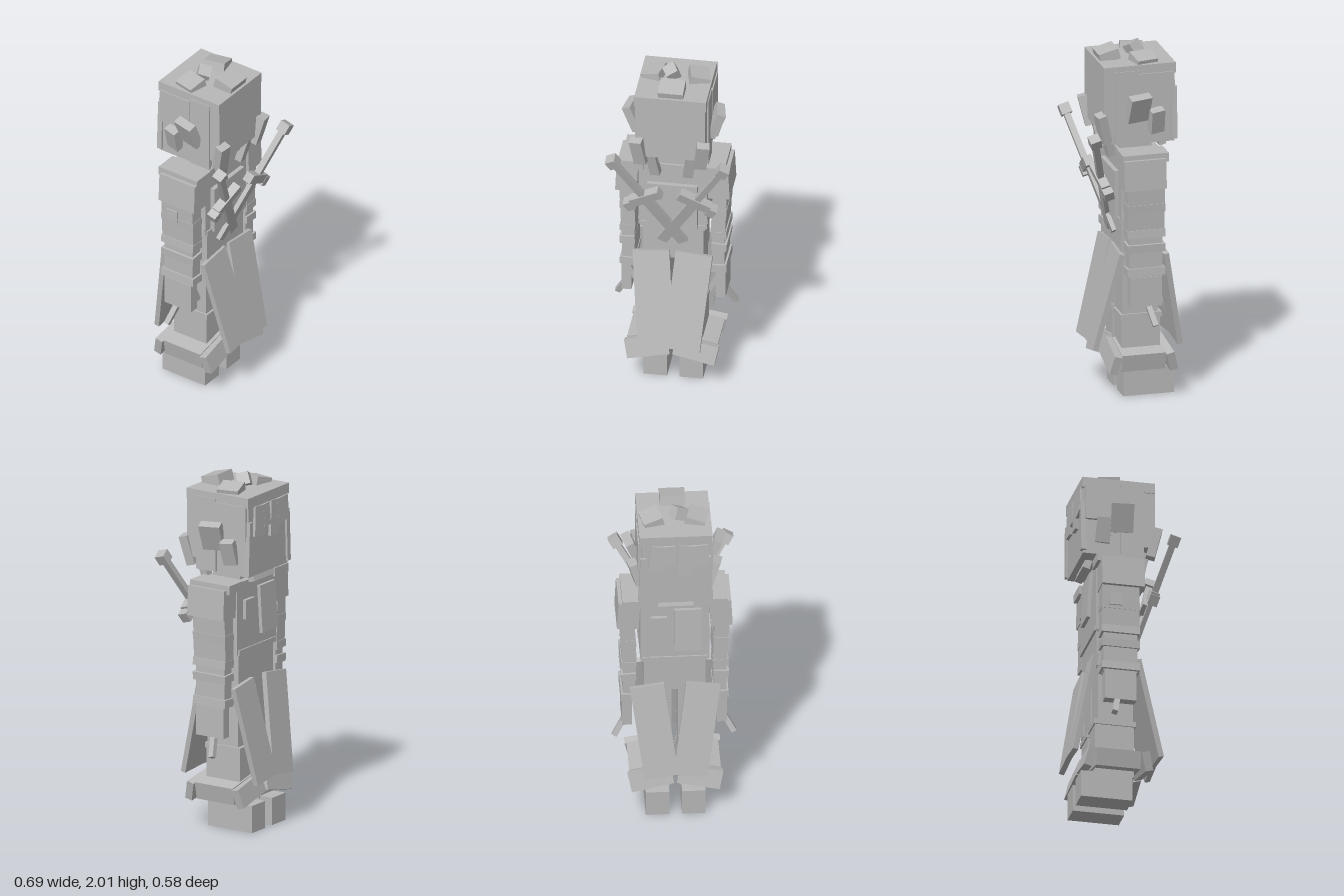
import * as THREE from 'three';

export function createModel() {
  const model = new THREE.Group();
  model.name = 'blockyWarrior';
  const grey = new THREE.MeshStandardMaterial({ color: 0xb8b8b8 });
  grey.name = 'plainGrey';

  // A box from its size, centre and rotation
  const box = (name, size, pos, rot = [0, 0, 0], parent = model) => {
    const mesh = new THREE.Mesh(new THREE.BoxGeometry(...size), grey);
    mesh.name = name;
    mesh.position.set(...pos);
    mesh.rotation.set(...rot);
    parent.add(mesh);
    return mesh;
  };
  // The same box on both sides of the body
  const pair = (name, size, [x, y, z], [rx, ry, rz] = [0, 0, 0]) => {
    box(name + 'Left', size, [x, y, z], [rx, ry, rz]);
    box(name + 'Right', size, [-x, y, z], [rx, -ry, -rz]);
  };
  // A group whose y axis runs from low to high, centred between them
  const along = (name, low, high) => {
    const a = new THREE.Vector3(...low), b = new THREE.Vector3(...high);
    const group = new THREE.Group();
    const y = b.clone().sub(a).normalize();
    const z = new THREE.Vector3(1, 0, 0).cross(y).normalize();
    const x = y.clone().cross(z);
    group.name = name;
    group.quaternion.setFromRotationMatrix(new THREE.Matrix4().makeBasis(x, y, z));
    group.position.copy(a).add(b).multiplyScalar(0.5);
    model.add(group);
    return { group, length: a.distanceTo(b) };
  };

  // Head and hair
  box('head', [0.38, 0.41, 0.32], [0, 1.67, -0.07]);
  box('hairCap', [0.4, 0.06, 0.41], [0, 1.89, -0.03]);
  box('hairBack', [0.39, 0.34, 0.09], [0, 1.7, 0.13]);
  box('hairNape', [0.3, 0.08, 0.06], [0, 1.5, 0.09]);
  pair('hairSide', [0.02, 0.42, 0.13], [0.195, 1.68, 0.045]);
  pair('hairTemple', [0.02, 0.2, 0.2], [0.197, 1.77, -0.12]);
  pair('cheekLock', [0.03, 0.3, 0.03], [0.185, 1.63, -0.228], [0, 0, 0.04]);
  [[-0.13, 0.1, 0.14], [-0.05, 0.08, 0.2], [0.03, 0.06, 0.13], [0.1, 0.09, 0.17]].forEach(([x, w, h], i) =>
    box('fringe' + i, [w, h, 0.025], [x, 1.86 - h / 2, -0.233], [0.03, 0, 0.08 * (i % 2 ? 1 : -1)]));
  box('chin', [0.2, 0.07, 0.04], [0, 1.45, -0.18], [0.3, 0, 0]);

  // Tufts on and around the head
  pair('topTuft', [0.11, 0.05, 0.125], [0.125, 1.93, -0.07], [0, 0.22, -0.25]);
  box('crownTuft', [0.07, 0.07, 0.07], [-0.025, 1.95, -0.055], [0.35, 0.5, 0.3]);
  box('backTuft', [0.14, 0.06, 0.115], [0, 1.94, 0.105], [0.25, 0, 0]);
  pair('earTuft', [0.05, 0.16, 0.125], [0.225, 1.68, -0.015], [0.04, 0.2, -0.4]);
  pair('templeTuft', [0.05, 0.14, 0.08], [0.215, 1.6, -0.12], [0.1, 0.2, -0.3]);
  pair('outerNapeTuft', [0.07, 0.17, 0.05], [0.175, 1.565, 0.175], [0.25, 0.15, -0.15]);
  pair('innerNapeTuft', [0.055, 0.15, 0.04], [0.1, 1.455, 0.125], [0.25, 0.1, -0.15]);

  // Torso
  box('neck', [0.22, 0.1, 0.18], [0, 1.45, -0.03]);
  box('chest', [0.38, 0.41, 0.23], [0, 1.215, -0.04]);
  box('waist', [0.34, 0.24, 0.22], [0, 0.92, -0.04]);
  box('backPlate', [0.28, 0.28, 0.03], [0, 1.16, 0.085]);
  box('beltFold', [0.36, 0.03, 0.245], [0, 1.02, -0.04]);
  pair('hipPouch', [0.04, 0.1, 0.08], [0.17, 1.09, 0.03], [0, 0, 0.1]);
  box('chestPocket', [0.09, 0.11, 0.03], [0.09, 1.26, -0.16]);
  box('chestFlap', [0.15, 0.27, 0.02], [-0.07, 1.235, -0.18], [0.06, 0, 0]);

  // Arms
  pair('shoulderCap', [0.13, 0.05, 0.26], [0.225, 1.405, -0.04]);
  pair('shoulder', [0.12, 0.17, 0.24], [0.255, 1.315, -0.03], [0, 0, 0.05]);
  pair('upperArm', [0.08, 0.27, 0.21], [0.255, 1.12, -0.04], [0, 0, -0.04]);
  pair('forearm', [0.07, 0.28, 0.19], [0.25, 0.86, -0.04]);
  [1.12, 0.97, 0.89, 0.75].forEach((y, i) =>
    pair('armBand' + i, [0.085, 0.045, 0.215], [0.255, y, -0.04], [0, 0, i % 2 ? 0.06 : -0.06]));
  pair('hand', [0.055, 0.17, 0.18], [0.262, 0.635, -0.04]);
  pair('thumb', [0.03, 0.17, 0.03], [0.29, 0.52, -0.065], [0.25, 0, 0.5]);
  pair('innerFinger', [0.025, 0.13, 0.04], [0.225, 0.64, 0.02], [0, 0, -0.45]);
  box('armBadge', [0.02, 0.07, 0.07], [-0.295, 1.15, -0.07]);

  // Legs, cuffs and feet
  pair('thigh', [0.145, 0.42, 0.2], [0.09, 0.65, -0.04]);
  pair('shin', [0.14, 0.32, 0.22], [0.095, 0.3, -0.045]);
  pair('kneeBand', [0.155, 0.03, 0.235], [0.095, 0.46, -0.045]);
  pair('foot', [0.13, 0.155, 0.29], [0.1, 0.0775, -0.09]);
  pair('ankle', [0.13, 0.1, 0.2], [0.1, 0.16, -0.045]);
  pair('cuff', [0.22, 0.1, 0.25], [0.135, 0.235, -0.04], [0, 0, -0.2]);
  pair('cuffBack', [0.24, 0.11, 0.045], [0.135, 0.23, 0.115], [-0.25, 0, -0.2]);
  pair('cuffFront', [0.24, 0.11, 0.045], [0.135, 0.23, -0.195], [0.25, 0, -0.2]);

  for (const s of [1, -1]) {
    const side = s > 0 ? 'Left' : 'Right';

    // Long coat panels, spreading away from the legs
    const back = along('backCoatPanel' + side, [s * 0.07, 0.29, 0.215], [s * 0.12, 0.845, 0.075]);
    box('panel', [0.205, back.length, 0.03], [0, 0, 0], [0, 0, 0], back.group);
    const front = along('frontCoatPanel' + side, [s * 0.08, 0.29, -0.265], [s * 0.155, 0.845, -0.165]);
    box('panel', [0.19, front.length, 0.03], [0, 0, 0], [0, 0, 0], front.group);

    // Crossed swords
    const sword = along('sword' + side, [-s * 0.06, 0.925, 0.08], [s * 0.315, 1.55, 0.262]);
    const h = sword.length / 2;
    const add = (name, size, pos) => box(name, size, pos, [0, 0, 0], sword.group);
    add('blade', [0.06, h * 1.1, 0.025], [0, -h * 0.45, 0]);
    add('grip', [0.035, h, 0.035], [0, h * 0.5, 0]);
    add('pommel', [0.06, 0.06, 0.06], [0, h - 0.02, 0]);
    add('guard', [0.19, 0.055, 0.05], [-s * 0.01, 0.03, 0]);
    add('guardEnd', [0.05, 0.06, 0.055], [s * 0.105, 0.015, 0]);
  }
  return model;
}
